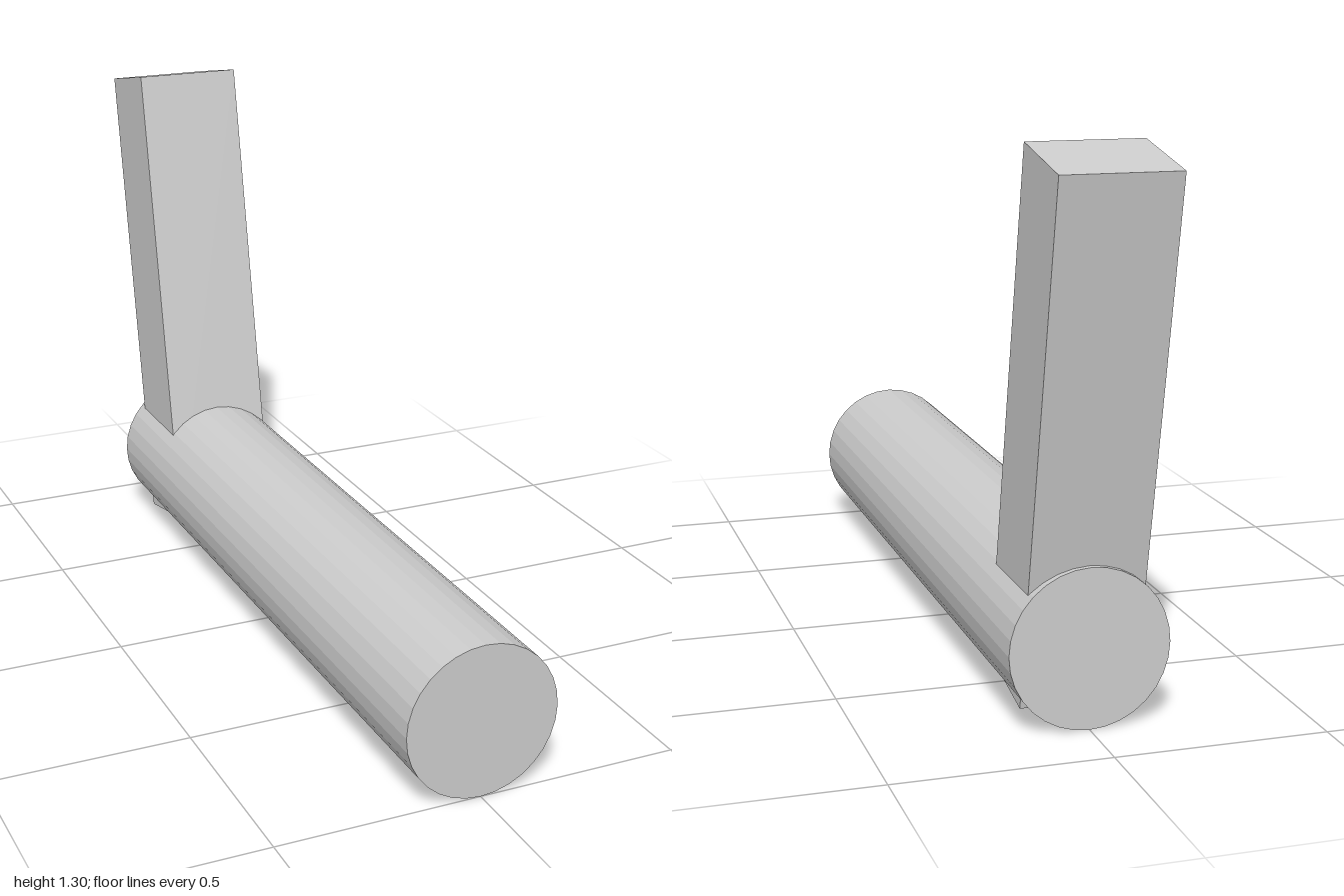
import * as THREE from 'three';

export function createModel() {
  const model = new THREE.Group();
  const material = new THREE.MeshStandardMaterial({ color: 0xcccccc, flatShading: true });

  const add = (name, geometry, y, z, tilt) => {
    const mesh = new THREE.Mesh(geometry, material);
    mesh.name = name;
    mesh.position.set(0, y, z);
    mesh.rotation.x = tilt;
    model.add(mesh);
  };

  // Long horizontal barrel lying along z
  const radius = 0.188, back = -0.84, front = 1;
  add('barrel', new THREE.CylinderGeometry(radius, radius, front - back, 32),
    radius, (front + back) / 2, Math.PI / 2);

  // Square grip leaning back, its lower corners poking out under the barrel
  add('grip', new THREE.BoxGeometry(0.274, 1.244, 0.234),
    0.667, -0.765, THREE.MathUtils.degToRad(-11.2));

  return model;
}
